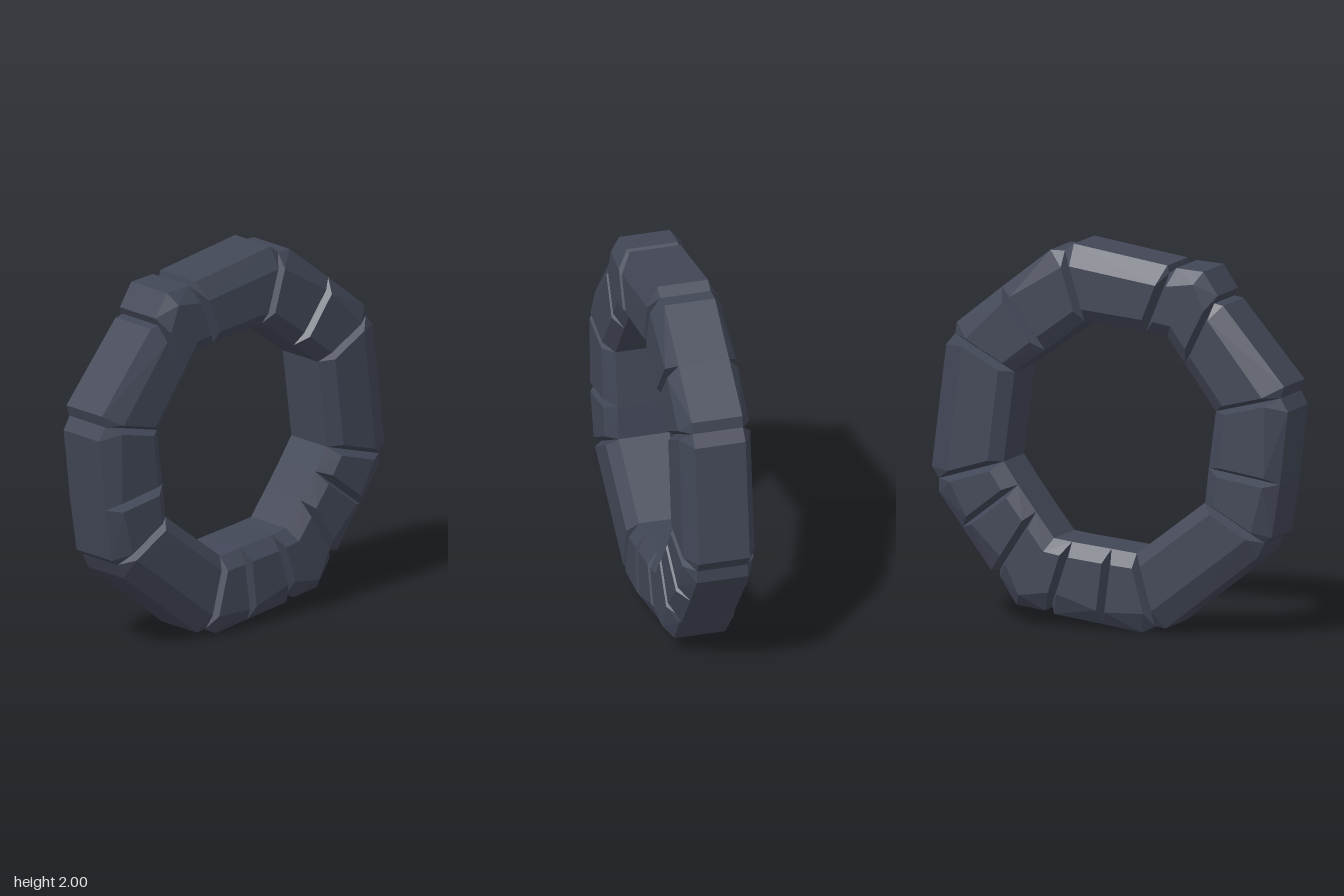
import * as THREE from 'three';
import { ConvexGeometry } from 'three/addons/geometries/ConvexGeometry.js';

const EDGE_Z = 0.135; // half depth at the rim of each block
const FACE_Z = 0.19;  // half depth at the raised faces

// Joints clockwise from the top: outer point, inner point, half groove width,
// then the outer corners of the block that follows.
const joints = [
  { o: [-0.33, 1.88], i: [-0.2, 1.565], gap: 0.03, name: 'topBlock', rim: [[-0.32, 1.92], [0.2, 2.0]] },
  { o: [0.25, 1.96], i: [0.14, 1.6], gap: 0.025, name: 'upperRightBlock', rim: [[0.33, 1.96]] },
  { o: [0.6, 1.75], i: [0.36, 1.435], gap: 0.025, name: 'upperRightShortBlock', rim: [[0.85, 1.55]] },
  { o: [0.86, 1.49], i: [0.53, 1.31], gap: 0.025, name: 'rightBlock', rim: [[0.91, 1.43], [0.99, 0.79]] },
  { o: [0.95, 0.73], i: [0.59, 0.84], gap: 0.03, name: 'lowerRightShortBlock', rim: [[0.95, 0.66]] },
  { o: [0.82, 0.485], i: [0.51, 0.725], gap: 0.025, name: 'lowerRightBlock', rim: [[0.66, 0.27]] },
  { o: [0.61, 0.28], i: [0.41, 0.59], gap: 0.025, name: 'lowerCornerUpperHalf', rim: [[0.61, 0.24]] },
  { o: [0.52, 0.1], i: [0.31, 0.46], gap: 0, name: 'lowerCornerLowerHalf', rim: [[0.36, 0.08]] },
  { o: [0.32, 0.12], i: [0.21, 0.447], gap: 0.025, name: 'bottomShortBlock', rim: [[0.31, 0.065]] },
  { o: [0.04, 0.03], i: [-0.01, 0.425], gap: 0.025, name: 'bottomBlock', rim: [[-0.18, 0]] },
  { o: [-0.25, 0.04], i: [-0.15, 0.41], gap: 0.025, name: 'lowerLeftBlock', rim: [[-0.31, 0.03], [-0.82, 0.43]] },
  { o: [-0.86, 0.51], i: [-0.53, 0.7], gap: 0.025, name: 'leftShortBlock', rim: [[-0.9, 0.54]] },
  { o: [-0.945, 0.82], i: [-0.55, 0.88], gap: 0.025, name: 'leftBlock', rim: [[-0.99, 1.2]] },
  { o: [-0.95, 1.27], i: [-0.59, 1.18], gap: 0.025, name: 'upperLeftBlock', rim: [[-0.97, 1.33], [-0.63, 1.73]] },
  { o: [-0.58, 1.74], i: [-0.42, 1.413], gap: 0.025, name: 'upperCornerLowerHalf', rim: [[-0.6, 1.78]] },
  { o: [-0.52, 1.9], i: [-0.32, 1.55], gap: 0, name: 'upperCornerUpperHalf', rim: [[-0.37, 1.91]] },
];

const vec = ([x, y]) => new THREE.Vector2(x, y);

// Point moved a given distance toward another one
const toward = (from, to, distance) =>
  from.clone().add(to.clone().sub(from).setLength(distance));

// Raised face corners beside one joint, shifted off it to leave a groove
function faceCorners(joint, other) {
  const [o, i, oo, oi] = [joint.o, joint.i, other.o, other.i].map(vec);
  const outer = toward(o, i, 0.07), inner = toward(i, o, 0.075);
  if (joint.gap === 0) return [outer, inner];
  return [
    toward(outer, toward(oo, oi, 0.07), joint.gap),
    toward(inner, toward(oi, oo, 0.075), joint.gap),
  ];
}

// Chamfered stone block spanning two joints
function makeBlock(a, b, material) {
  const outline = [a.o, ...a.rim, b.o, b.i, a.i].map(vec);
  const face = [...faceCorners(a, b), ...faceCorners(b, a)];
  const points = [];
  for (const side of [-1, 1]) {
    for (const p of outline) points.push(new THREE.Vector3(p.x, p.y, side * EDGE_Z));
    for (const p of face) points.push(new THREE.Vector3(p.x, p.y, side * FACE_Z));
  }
  const mesh = new THREE.Mesh(new ConvexGeometry(points), material);
  mesh.name = a.name;
  return mesh;
}

export function createModel() {
  const group = new THREE.Group();
  group.name = 'stoneRing';
  const stone = new THREE.MeshStandardMaterial({ color: 0x424757 });
  stone.name = 'dark slate';
  joints.forEach((joint, k) => {
    group.add(makeBlock(joint, joints[(k + 1) % joints.length], stone));
  });
  return group;
}
